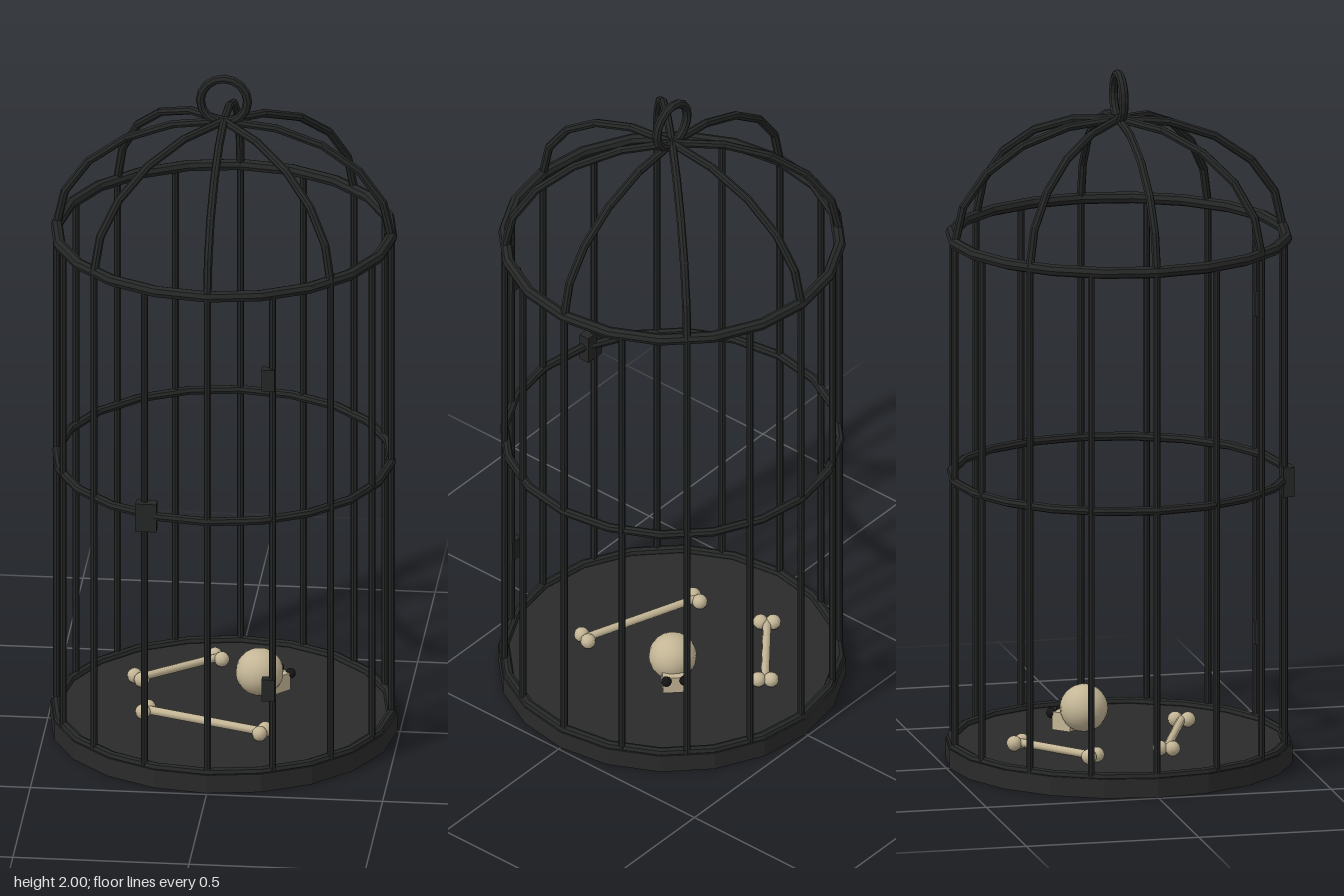
import * as THREE from 'three';

const iron = new THREE.MeshStandardMaterial({ color: 0x252626, flatShading: true });
iron.name = 'dark iron';
const floorMat = new THREE.MeshStandardMaterial({ color: 0x2a2a2a, flatShading: true });
floorMat.name = 'iron floor';
const boneMat = new THREE.MeshStandardMaterial({ color: 0xc4b696 });
boneMat.name = 'old bone';
const socketMat = new THREE.MeshStandardMaterial({ color: 0x141414 });
socketMat.name = 'eye socket black';

const R = 0.475;       // cage radius at the bars
const FLOOR = 0.055;
const RIM = 1.52;      // where the dome starts
const DOME = 0.338;    // dome height

function add(parent, name, geometry, material, x = 0, y = 0, z = 0) {
  const mesh = new THREE.Mesh(geometry, material);
  mesh.name = name;
  mesh.position.set(x, y, z);
  parent.add(mesh);
  return mesh;
}

// Straight rod between two points
function rod(parent, name, a, b, radius, material, sides = 8) {
  const dir = b.clone().sub(a);
  const mesh = add(parent, name, new THREE.CylinderGeometry(radius, radius, dir.length(), sides), material);
  mesh.position.copy(a).add(b).multiplyScalar(0.5);
  mesh.quaternion.setFromUnitVectors(new THREE.Vector3(0, 1, 0), dir.normalize());
  return mesh;
}

function hoop(parent, name, y, tube) {
  add(parent, name, new THREE.TorusGeometry(R, tube, 8, 20).rotateX(Math.PI / 2), iron, 0, y, 0);
}

// Long bone with two knuckles at each end
function longBone(parent, name, ax, az, bx, bz) {
  const group = new THREE.Group();
  group.name = name;
  const y = FLOOR + 0.021;
  const a = new THREE.Vector3(ax, y, az), b = new THREE.Vector3(bx, y, bz);
  rod(group, 'boneShaft', a, b, 0.012, boneMat);
  const d = b.clone().sub(a).normalize();
  for (const end of [a, b]) {
    for (const s of [-1, 1]) {
      add(group, 'boneKnuckle', new THREE.SphereGeometry(0.022, 10, 8), boneMat,
        end.x - d.z * 0.018 * s, y, end.z + d.x * 0.018 * s);
    }
  }
  parent.add(group);
}

export function createModel() {
  const model = new THREE.Group();
  model.name = 'birdcage';

  // Base and hoops
  add(model, 'base', new THREE.CylinderGeometry(0.492, 0.492, FLOOR, 20), floorMat, 0, FLOOR / 2, 0);
  hoop(model, 'baseRim', 0.057, 0.014);
  hoop(model, 'middleHoop', 0.828, 0.013);
  hoop(model, 'topHoop', RIM, 0.017);

  // Upright bars
  const bars = new THREE.Group();
  bars.name = 'bars';
  for (let i = 0; i < 16; i++) {
    const t = (i / 16) * Math.PI * 2;
    add(bars, 'bar', new THREE.CylinderGeometry(0.01, 0.01, RIM - 0.04, 8), iron,
      R * Math.sin(t), (RIM + 0.04) / 2, R * Math.cos(t));
  }
  model.add(bars);

  // Domed ribs, each made of five straight segments
  const dome = new THREE.Group();
  dome.name = 'dome';
  for (let i = 0; i < 8; i++) {
    const t = (i / 8) * Math.PI * 2;
    const point = (k) => {
      const e = (k / 5) * Math.PI / 2, r = R * Math.cos(e);
      return new THREE.Vector3(r * Math.sin(t), RIM + DOME * Math.sin(e), r * Math.cos(t));
    };
    for (let k = 0; k < 5; k++) {
      rod(dome, 'rib', point(k), point(k + 1), 0.012, iron);
      add(dome, 'ribJoint', new THREE.SphereGeometry(0.012, 8, 6), iron).position.copy(point(k + 1));
    }
  }
  model.add(dome);

  // Hanging ring
  add(model, 'hangingRing', new THREE.TorusGeometry(0.067, 0.013, 8, 16), iron, 0, 1.92, 0);

  // Door latch and hinges
  add(model, 'latch', new THREE.BoxGeometry(0.06, 0.085, 0.032), iron, -0.176, 0.826, 0.446);
  for (const y of [0.307, 1.26]) {
    add(model, 'hinge', new THREE.BoxGeometry(0.037, 0.066, 0.026), iron, 0.17, y, 0.443);
  }

  // Bones on the floor
  longBone(model, 'shortBone', -0.257, -0.135, -0.046, -0.303);
  longBone(model, 'longBone', -0.214, 0.088, 0.13, 0.212);

  // Skull, built facing +z and then turned to the back corner
  const skull = new THREE.Group();
  skull.name = 'skull';
  add(skull, 'cranium', new THREE.SphereGeometry(0.068, 18, 14), boneMat, 0, 0.133, 0);
  add(skull, 'jaw', new THREE.BoxGeometry(0.07, 0.052, 0.06), boneMat, 0, 0.092, 0.055);
  for (const s of [-1, 1]) {
    add(skull, 'eyeSocket', new THREE.SphereGeometry(0.015, 10, 8), socketMat, s * 0.026, 0.112, 0.092);
  }
  skull.position.set(0.093, 0, -0.08);
  skull.rotation.y = Math.PI * 0.75;
  model.add(skull);

  return model;
}
